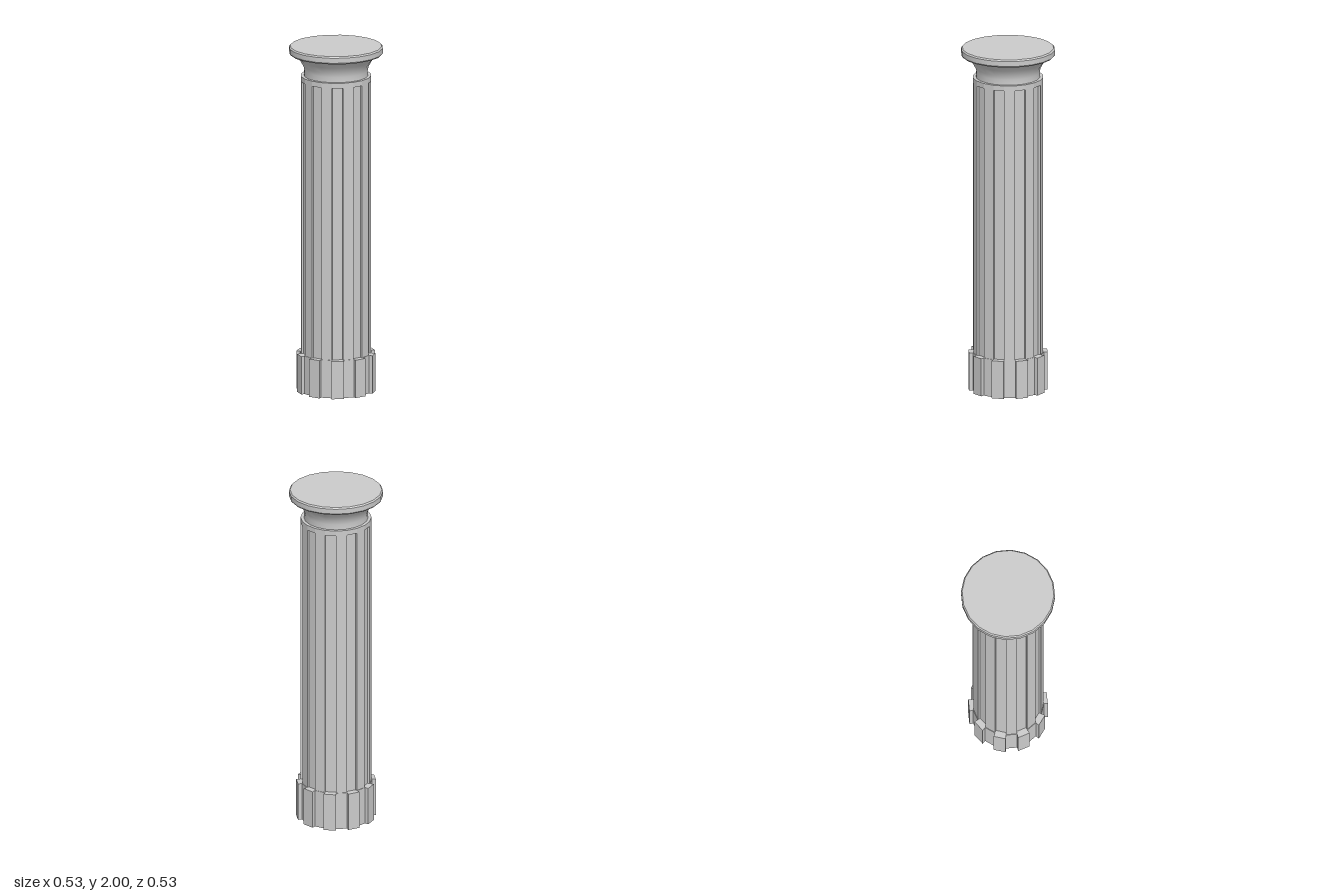
import * as THREE from 'three';
import { toCreasedNormals } from 'three/addons/utils/BufferGeometryUtils.js';

const SIDES = 20;
const STEP = (Math.PI * 2) / SIDES;

// Point on the plan; angle 0 faces +z and grows towards +x
const planPoint = (angle, r) => new THREE.Vector2(Math.sin(angle) * r, -Math.cos(angle) * r);

// Hollow 20-sided ring whose even and odd facets sit at different radii
function facetRing(evenRadius, oddRadius, boreRadius, bottom, top) {
  const outline = [], bore = [];
  for (let k = 0; k < SIDES; k++) {
    const r = k % 2 ? oddRadius : evenRadius;
    outline.push(planPoint(k * STEP, r));
    if (evenRadius !== oddRadius) outline.push(planPoint((k + 1) * STEP, r));
    bore.push(planPoint(k * STEP, boreRadius));
  }
  const shape = new THREE.Shape(outline);
  shape.holes.push(new THREE.Path(bore));
  const geometry = new THREE.ExtrudeGeometry(shape, { depth: top - bottom, bevelEnabled: false });
  geometry.rotateX(-Math.PI / 2);
  geometry.translate(0, bottom, 0);
  return geometry;
}

export function createModel() {
  const group = new THREE.Group();
  group.name = 'column';
  const faceted = new THREE.MeshStandardMaterial({ color: 0xcccccc, flatShading: true });
  const smooth = new THREE.MeshStandardMaterial({ color: 0xcccccc });
  const add = (name, geometry, material) => {
    const mesh = new THREE.Mesh(geometry, material);
    mesh.name = name;
    group.add(mesh);
  };

  // Base: blocks stand out beneath the flutes
  add('base', facetRing(0.203, 0.225, 0.18, 0, 0.22), faceted);

  // Shaft: every other facet is sunk as a flute, closed by a plain collar
  add('flutedShaft', facetRing(0.2, 0.187, 0.18, 0.22, 1.8), faceted);
  add('collar', facetRing(0.2, 0.2, 0.18, 1.8, 1.83), faceted);

  // Capital: narrow neck flaring out to a thin round slab
  const profile = [
    [0, 1.83], [0.182, 1.83], [0.18, 1.86], [0.185, 1.885], [0.203, 1.918], [0.235, 1.953],
    [0.26, 1.955], [0.266, 1.963], [0.266, 1.992], [0.259, 2], [0, 2],
  ].map(([r, y]) => new THREE.Vector2(r, y));
  add('capital', toCreasedNormals(new THREE.LatheGeometry(profile, SIDES), 0.5), smooth);

  return group;
}
